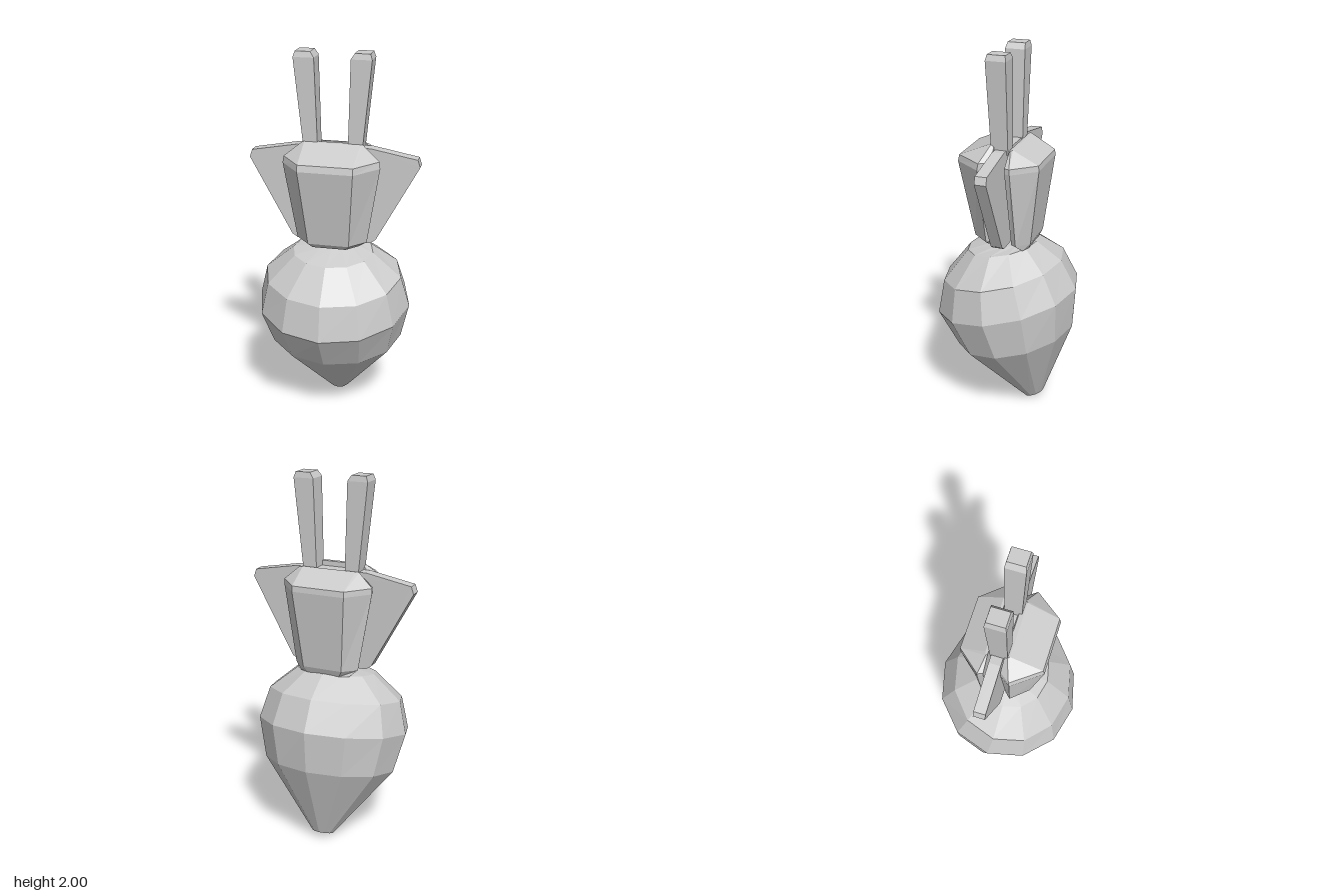
import * as THREE from 'three';

const material = new THREE.MeshStandardMaterial({ color: 0xcccccc, flatShading: true });

function addMesh(parent, name, geometry) {
  const mesh = new THREE.Mesh(geometry, material);
  mesh.name = name;
  parent.add(mesh);
  return mesh;
}

// Skins a stack of rings from bottom to top and closes both ends.
// Each ring runs counter-clockwise seen from above.
function loft(rings) {
  const n = rings[0].length;
  const pos = [];
  const tri = (...pts) => pts.forEach((p) => pos.push(...p));
  const centre = (ring) => [0, 1, 2].map((k) => ring.reduce((s, p) => s + p[k], 0) / n);
  const low = rings[0], high = rings[rings.length - 1];
  for (let j = 0; j < n; j++) {
    const k = (j + 1) % n;
    for (let i = 0; i < rings.length - 1; i++) {
      const a = rings[i], b = rings[i + 1];
      tri(a[j], a[k], b[k]);
      tri(a[j], b[k], b[j]);
    }
    tri(centre(low), low[k], low[j]);
    tri(centre(high), high[j], high[k]);
  }
  const geometry = new THREE.BufferGeometry();
  geometry.setAttribute('position', new THREE.Float32BufferAttribute(pos, 3));
  geometry.computeVertexNormals();
  return geometry;
}

// Tilted ring given by its front and back points and half width
function bulbRing([zf, yf, zb, yb, w], sides = 12) {
  return Array.from({ length: sides }, (_, i) => {
    const a = (i / sides) * Math.PI * 2;
    const t = (1 + Math.cos(a)) / 2;
    return [Math.sin(a) * w, yb + (yf - yb) * t, zb + (zf - zb) * t];
  });
}

// Six-sided leaf section: narrow outer face, wide middle, flat inner face
function leafRing([y, wOuter, zOuter, wMid, zMid, wInner, zInner], side) {
  const ring = [
    [-wOuter, y, zOuter * side], [wOuter, y, zOuter * side],
    [wMid, y, zMid * side], [wInner, y, zInner * side],
    [-wInner, y, zInner * side], [-wMid, y, zMid * side],
  ];
  return side > 0 ? ring : ring.reverse();
}

function boxRing([y, x0, x1, z0, z1]) {
  return [[x0, y, z1], [x1, y, z1], [x1, y, z0], [x0, y, z0]];
}

export function createModel() {
  const model = new THREE.Group();
  model.name = 'rootVegetable';

  // Leaning bulb with a blunt tip
  const bulb = [
    [-0.10, 0, -0.21, 0.04, 0.06],
    [0.27, 0.35, -0.37, 0.48, 0.37],
    [0.385, 0.54, -0.385, 0.71, 0.42],
    [0.35, 0.73, -0.30, 0.865, 0.375],
    [0.22, 0.90, -0.16, 0.96, 0.22],
    [0.07, 0.95, -0.12, 0.96, 0.11],
  ];
  addMesh(model, 'bulb', loft(bulb.map((r) => bulbRing(r))));

  // Thick leaves in front and behind
  const front = [
    [0.975, 0.09, 0.13, 0.15, 0.06, 0.13, 0.035],
    [1.00, 0.11, 0.15, 0.19, 0.06, 0.16, 0.03],
    [1.42, 0.145, 0.228, 0.26, 0.08, 0.22, 0.022],
    [1.455, 0.145, 0.22, 0.255, 0.075, 0.215, 0.022],
    [1.53, 0.15, 0.05, 0.16, 0.04, 0.15, 0.025],
  ];
  addMesh(model, 'frontLeaf', loft(front.map((r) => leafRing(r, 1))));
  const back = [
    [0.955, 0.09, 0.145, 0.14, 0.125, 0.13, 0.11],
    [0.99, 0.11, 0.16, 0.18, 0.10, 0.16, 0.07],
    [1.41, 0.145, 0.213, 0.25, 0.09, 0.24, 0.06],
    [1.44, 0.145, 0.21, 0.25, 0.088, 0.24, 0.06],
    [1.51, 0.15, 0.075, 0.17, 0.068, 0.16, 0.06],
  ];
  addMesh(model, 'backLeaf', loft(back.map((r) => leafRing(r, -1))));

  // Flat fan-shaped leaf spreading to both sides
  const half = [[0.20, 0.98], [0.23, 1.0], [0.458, 1.42], [0.445, 1.46], [0.2, 1.505]];
  const outline = [...half, ...half.map(([x, y]) => [-x, y]).reverse()];
  const fan = new THREE.ExtrudeGeometry(
    new THREE.Shape(outline.map(([x, y]) => new THREE.Vector2(x, y))),
    { depth: 0.062, bevelEnabled: false },
  );
  fan.translate(0, 0, -0.043);
  addMesh(model, 'sideLeaves', fan);

  // Pair of upright stalks with chamfered tops, splayed outwards
  const stalk = [
    [1.48, 0.08, 0.155, -0.05, 0.04],
    [1.97, 0.095, 0.205, -0.055, 0.052],
    [2.0, 0.115, 0.195, -0.05, 0.045],
  ];
  for (const side of [1, -1]) {
    const rings = stalk.map(([y, x0, x1, z0, z1]) =>
      boxRing(side > 0 ? [y, x0, x1, z0, z1] : [y, -x1, -x0, z0, z1]));
    addMesh(model, side > 0 ? 'leftStalk' : 'rightStalk', loft(rings));
  }
  return model;
}
